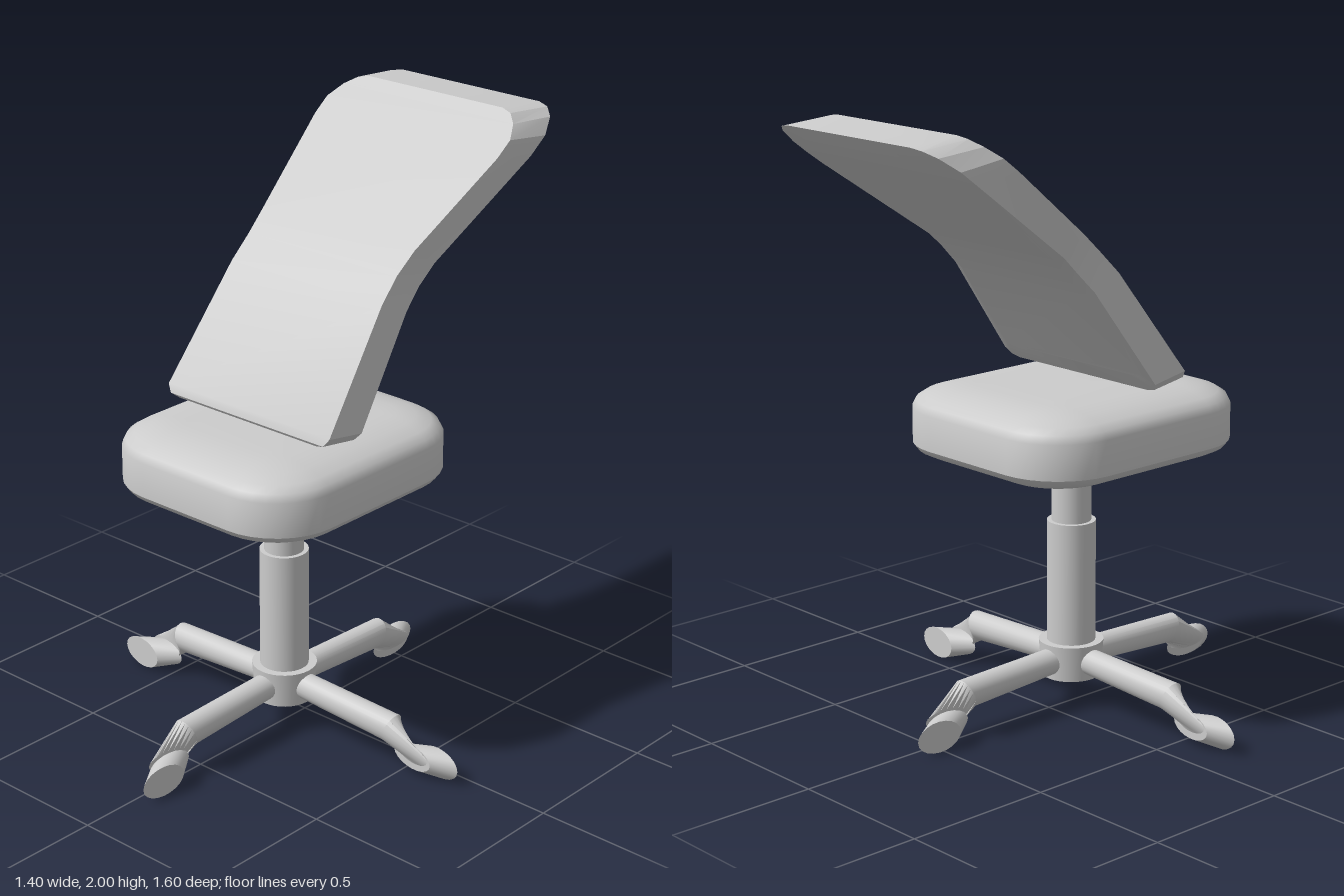
import * as THREE from 'three';
import { toCreasedNormals } from 'three/addons/utils/BufferGeometryUtils.js';

const grey = new THREE.MeshStandardMaterial({ color: 0xcccccc });
grey.name = 'light grey';

// Skin over a list of equally long closed rings, closed with a fan at both ends
function loft(rings, crease) {
  const n = rings[0].length;
  const pos = rings.flat(2);
  const index = [];
  for (let i = 0; i < rings.length - 1; i++) {
    for (let j = 0; j < n; j++) {
      const k = (j + 1) % n;
      const a = i * n + j, b = i * n + k, c = b + n, d = a + n;
      index.push(a, b, c, a, c, d);
    }
  }
  const cap = (first, flip) => {
    const ring = rings[first];
    const centre = pos.length / 3;
    for (let m = 0; m < 3; m++) pos.push(ring.reduce((s, p) => s + p[m], 0) / n);
    for (let j = 0; j < n; j++) {
      const a = first * n + j, b = first * n + (j + 1) % n;
      index.push(centre, flip ? b : a, flip ? a : b);
    }
  };
  cap(0, true);
  cap(rings.length - 1, false);
  const geometry = new THREE.BufferGeometry();
  geometry.setAttribute('position', new THREE.Float32BufferAttribute(pos, 3));
  geometry.setIndex(index);
  return toCreasedNormals(geometry, crease);
}

function addMesh(parent, name, geometry) {
  const mesh = new THREE.Mesh(geometry, grey);
  mesh.name = name;
  parent.add(mesh);
  return mesh;
}

function addCylinder(parent, name, top, bottom, y0, y1) {
  const geometry = new THREE.CylinderGeometry(top, bottom, y1 - y0, 32);
  addMesh(parent, name, geometry).position.set(0, (y0 + y1) / 2, 0.1);
}

// Horizontal rounded rectangle, shrunk by an inset
function seatRing(y, inset) {
  const ring = [];
  const steps = 8;
  const radius = Math.max(0.22 - inset, 0.03);
  const cx = 0.402 - inset - radius, cz = 0.45 - inset - radius;
  for (let q = 0; q < 4; q++) {
    const sx = q === 0 || q === 3 ? 1 : -1, sz = q < 2 ? -1 : 1;
    for (let i = 0; i <= steps; i++) {
      const a = (q + i / steps) * Math.PI / 2;
      ring.push([sx * cx + radius * Math.cos(a), y, 0.1 + sz * cz - radius * Math.sin(a)]);
    }
  }
  return ring;
}

// Ring of points from a rule of cosine and sine
function roundRing(rule) {
  return Array.from({ length: 20 }, (_, i) => {
    const a = i / 20 * Math.PI * 2;
    return rule(Math.cos(a), Math.sin(a));
  });
}

export function createModel() {
  const model = new THREE.Group();
  model.name = 'officeChair';

  // Cushion, with a shallow recess underneath
  addMesh(model, 'seat', loft([
    [0.87, 0.24], [0.845, 0.19], [0.847, 0.16], [0.855, 0.1], [0.868, 0.05], [0.885, 0.015], [0.905, 0],
    [1.02, 0], [1.045, 0.012], [1.063, 0.04], [1.08, 0.09], [1.089, 0.15], [1.091, 0.2],
  ].map(([y, inset]) => seatRing(y, inset)), 0.6));

  // Backrest stations: front z y, rear edge z y, rear face z y, half width
  const stations = [
    [0.27, 1.125, 0.148, 1.11, 0.106, 1.16, 0],
    [0.27, 1.125, 0.148, 1.11, 0.106, 1.16, 0.3],
    [0.277, 1.135, 0.143, 1.118, 0.104, 1.163, 0.332],
    [0.268, 1.16, 0.128, 1.14, 0.095, 1.175, 0.35],
    [0, 1.51, -0.11, 1.465, -0.12, 1.455, 0.323],
    [-0.075, 1.585, -0.175, 1.53, -0.185, 1.52, 0.318],
    [-0.15, 1.65, -0.24, 1.59, -0.25, 1.58, 0.325],
    [-0.47, 1.885, -0.63, 1.858, -0.62, 1.838, 0.387],
    [-0.53, 1.93, -0.7, 1.91, -0.68, 1.88, 0.388],
    [-0.58, 1.966, -0.76, 1.953, -0.727, 1.914, 0.36],
    [-0.61, 1.988, -0.79, 1.973, -0.748, 1.929, 0.325],
    [-0.62, 1.996, -0.8, 1.98, -0.757, 1.935, 0.285],
    [-0.62, 1.996, -0.8, 1.98, -0.757, 1.935, 0],
  ];
  addMesh(model, 'backrest', loft(stations.map(([fz, fy, mz, my, bz, by, w]) => {
    const f = Math.max(w - 0.008, 0), b = Math.max(w - 0.04, 0);
    return [[f, fy, fz], [w, my, mz], [b, by, bz], [-b, by, bz], [-w, my, mz], [-f, fy, fz]];
  }), 0.35));

  // Gas lift and hub
  addCylinder(model, 'innerColumn', 0.065, 0.065, 0.6, 0.86);
  addCylinder(model, 'outerColumn', 0.08, 0.08, 0.2, 0.63);
  addCylinder(model, 'hub', 0.107, 0.097, 0.1, 0.22);

  // Leg: round tube, bent down into a flattened strut
  const legGeometry = loft([
    roundRing((c, s) => [0.06, 0.162 + 0.043 * c, 0.043 * s]),
    roundRing((c, s) => [0.46 + 0.02 * c, 0.144 + 0.048 * c, 0.044 * s]),
    roundRing((c, s) => [0.545 + 0.075 * s, 0.08 + 0.03 * c, 0.012 * s]),
  ], 0.5);
  // Foot: slanted oval pad
  const footGeometry = loft([
    roundRing((c, s) => [0.545 + 0.08 * s, 0.065 + 0.042 * c, -0.005 + 0.008 * s]),
    roundRing((c, s) => [0.618 + 0.082 * s, 0.053 + 0.052 * c, -0.052 + 0.008 * s]),
  ], 0.6);
  for (let i = 0; i < 4; i++) {
    const arm = new THREE.Group();
    arm.name = 'baseArm' + (i + 1);
    arm.position.z = 0.1;
    arm.rotation.y = i * Math.PI / 2;
    addMesh(arm, 'leg', legGeometry);
    addMesh(arm, 'foot', footGeometry);
    model.add(arm);
  }
  return model;
}
